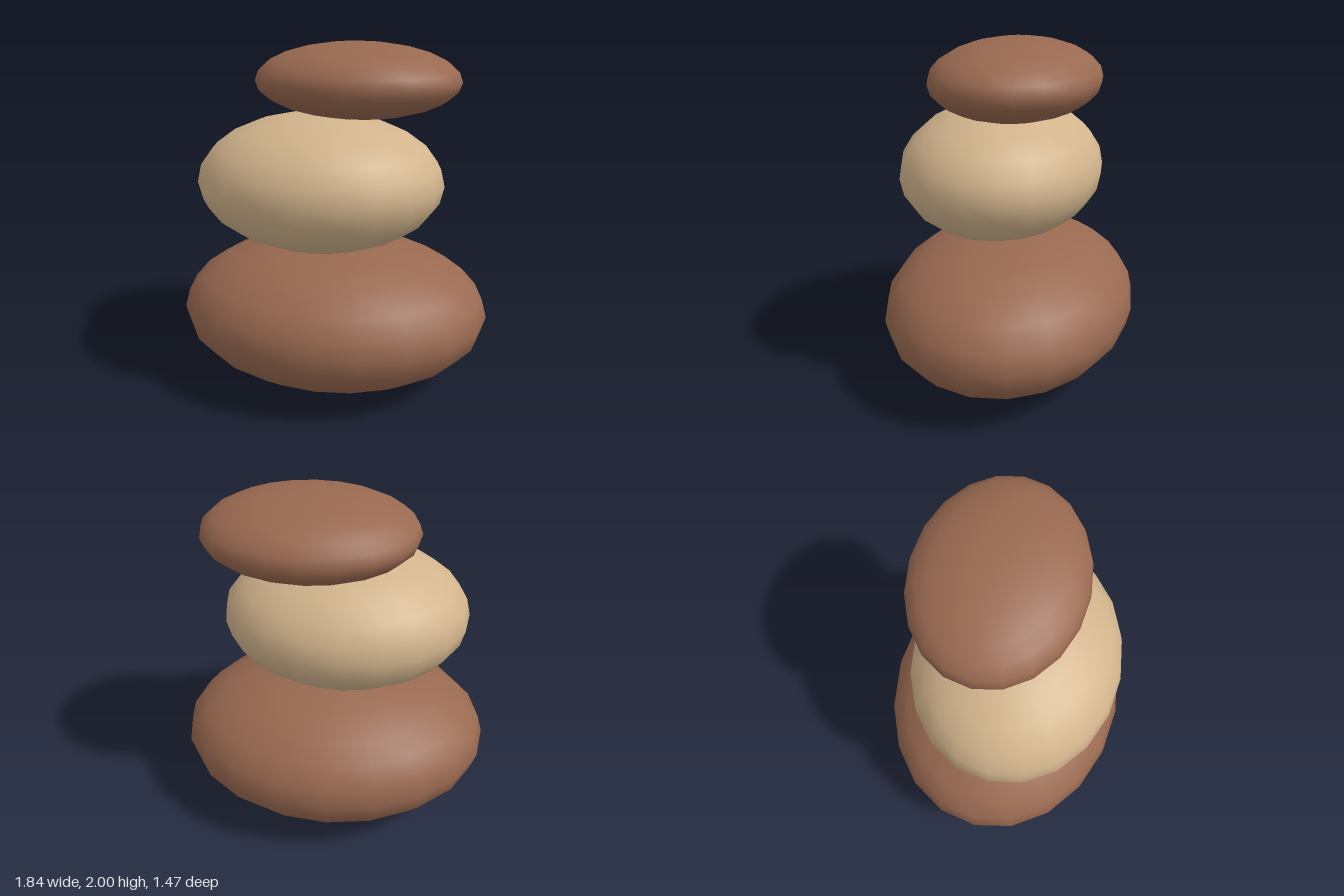
import * as THREE from 'three';

export function createModel() {
  const group = new THREE.Group();
  const brown = new THREE.MeshStandardMaterial({ color: 0x996950 });
  brown.name = 'brownStone';
  const tan = new THREE.MeshStandardMaterial({ color: 0xd2b48c });
  tan.name = 'tanStone';

  // A smooth, flattened pebble with the given half-sizes and centre
  function addStone(name, material, radii, centre) {
    const geometry = new THREE.SphereGeometry(1, 20, 12);
    geometry.scale(...radii);
    const stone = new THREE.Mesh(geometry, material);
    stone.name = name;
    stone.position.set(...centre);
    group.add(stone);
  }

  // Balanced stack, bottom to top
  addStone('bottomStone', brown, [0.92, 0.43, 0.736], [0, 0.431, 0]);
  addStone('middleStone', tan, [0.705, 0.39, 0.582], [-0.063, 1.235, 0.073]);
  addStone('topStone', brown, [0.583, 0.21, 0.458], [0.122, 1.79, -0.063]);

  return group;
}
